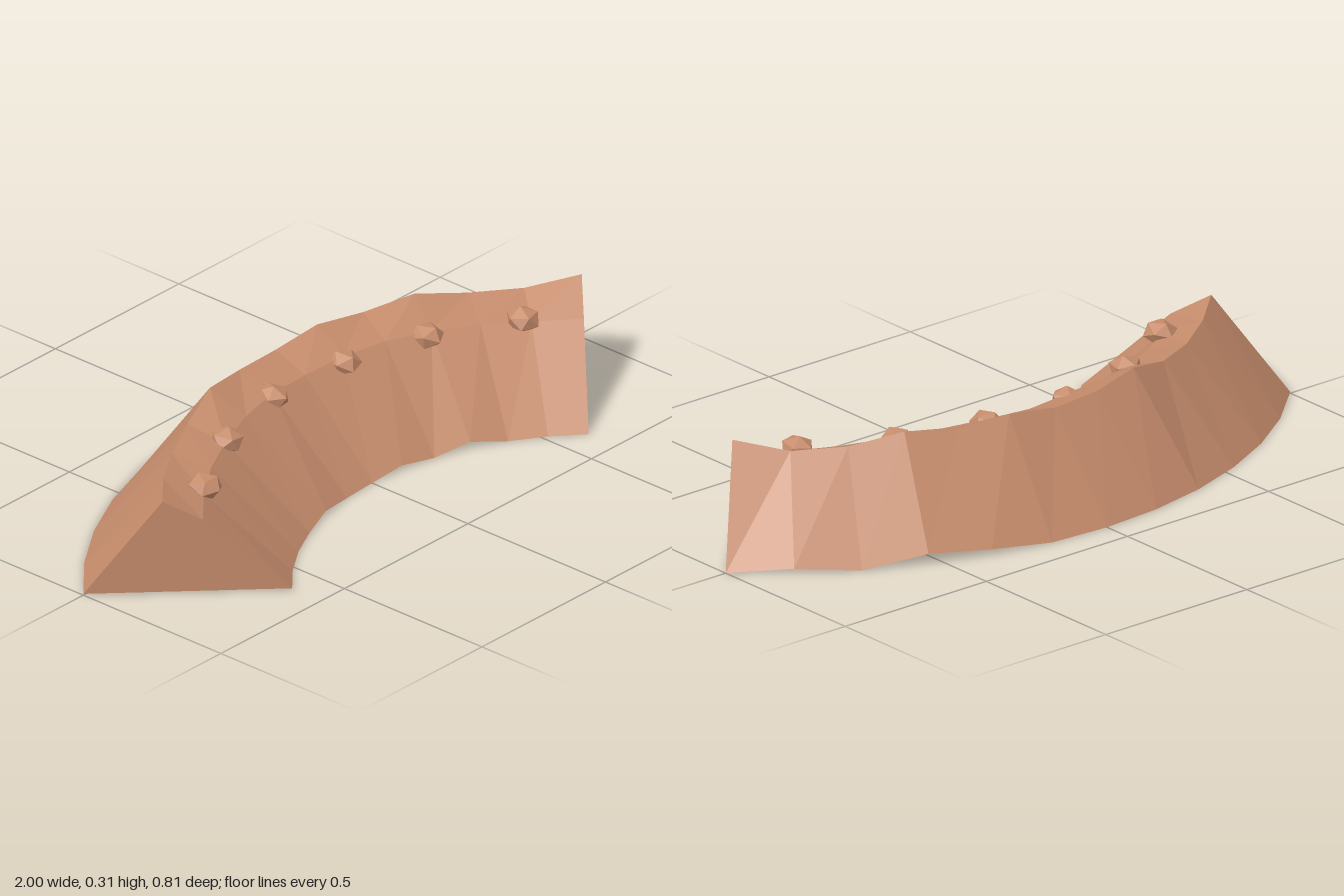
import * as THREE from 'three';

const STEPS = 12;
const ARC = Math.PI / 2;
// Radii of the cross-section: inner foot, shoulder, ridge, outer foot
const RADII = [0.8485, 1.09, 1.2, 1.4142];
// Height of each line along the arc, from the right end (-x) to the left end (+x)
const HEIGHTS = [
  [0.005, 0, 0, 0, 0.012, 0, 0, 0.012, 0, 0.02, 0, 0, 0],
  [0.222, 0.225, 0.23, 0.235, 0.245, 0.25, 0.245, 0.25, 0.25, 0.245, 0.235, 0.225, 0.225],
  [0.28, 0.268, 0.262, 0.27, 0.305, 0.288, 0.283, 0.302, 0.29, 0.305, 0.277, 0.271, 0.303],
  [0.004, 0, 0, 0, 0, 0, 0, 0, 0.017, 0.031, 0, 0.014, 0],
];

// Point on the arc, whose centre lies at z = 1
function arcPoint(angle, radius, y) {
  return new THREE.Vector3(radius * Math.sin(angle), y, 1 - radius * Math.cos(angle));
}

// Curved bank swept from the four-sided cross-section
function bankGeometry() {
  const pos = [];
  const quad = (a, b, c, d) => [a, b, c, a, c, d].forEach((p) => pos.push(p.x, p.y, p.z));
  const rings = [];
  for (let j = 0; j <= STEPS; j++) {
    const angle = (j / STEPS - 0.5) * ARC;
    rings.push(RADII.map((r, i) => arcPoint(angle, r, HEIGHTS[i][j])));
  }
  for (let j = 0; j < STEPS; j++) {
    const p = rings[j], q = rings[j + 1];
    for (let i = 0; i < 4; i++) {
      const n = (i + 1) % 4;
      quad(p[i], q[i], q[n], p[n]);
    }
  }
  // End caps
  const s = rings[0], e = rings[STEPS];
  quad(s[0], s[1], s[2], s[3]);
  quad(e[0], e[3], e[2], e[1]);
  const geo = new THREE.BufferGeometry();
  geo.setAttribute('position', new THREE.Float32BufferAttribute(pos, 3));
  geo.computeVertexNormals();
  return geo;
}

export function createModel() {
  const group = new THREE.Group();
  group.name = 'curvedBank';
  const clay = new THREE.MeshStandardMaterial({ color: 0xc68c6c, flatShading: true });
  clay.name = 'clay';

  const bank = new THREE.Mesh(bankGeometry(), clay);
  bank.name = 'bank';
  group.add(bank);

  // Small stones set along the inner shoulder
  const stones = [
    [-0.64, 0.12], [-0.405, -0.015], [-0.138, -0.087],
    [0.138, -0.075], [0.4, -0.01], [0.645, 0.12],
  ];
  stones.forEach(([x, z], i) => {
    const geo = new THREE.IcosahedronGeometry(0.05, 0);
    geo.rotateX(0.5 + i * 0.7);
    geo.rotateY(i * 1.3);
    geo.scale(0.95, 0.72, 1.05);
    const stone = new THREE.Mesh(geo, clay);
    stone.name = `stone${i + 1}`;
    stone.position.set(x, 0.236, z);
    group.add(stone);
  });
  return group;
}
